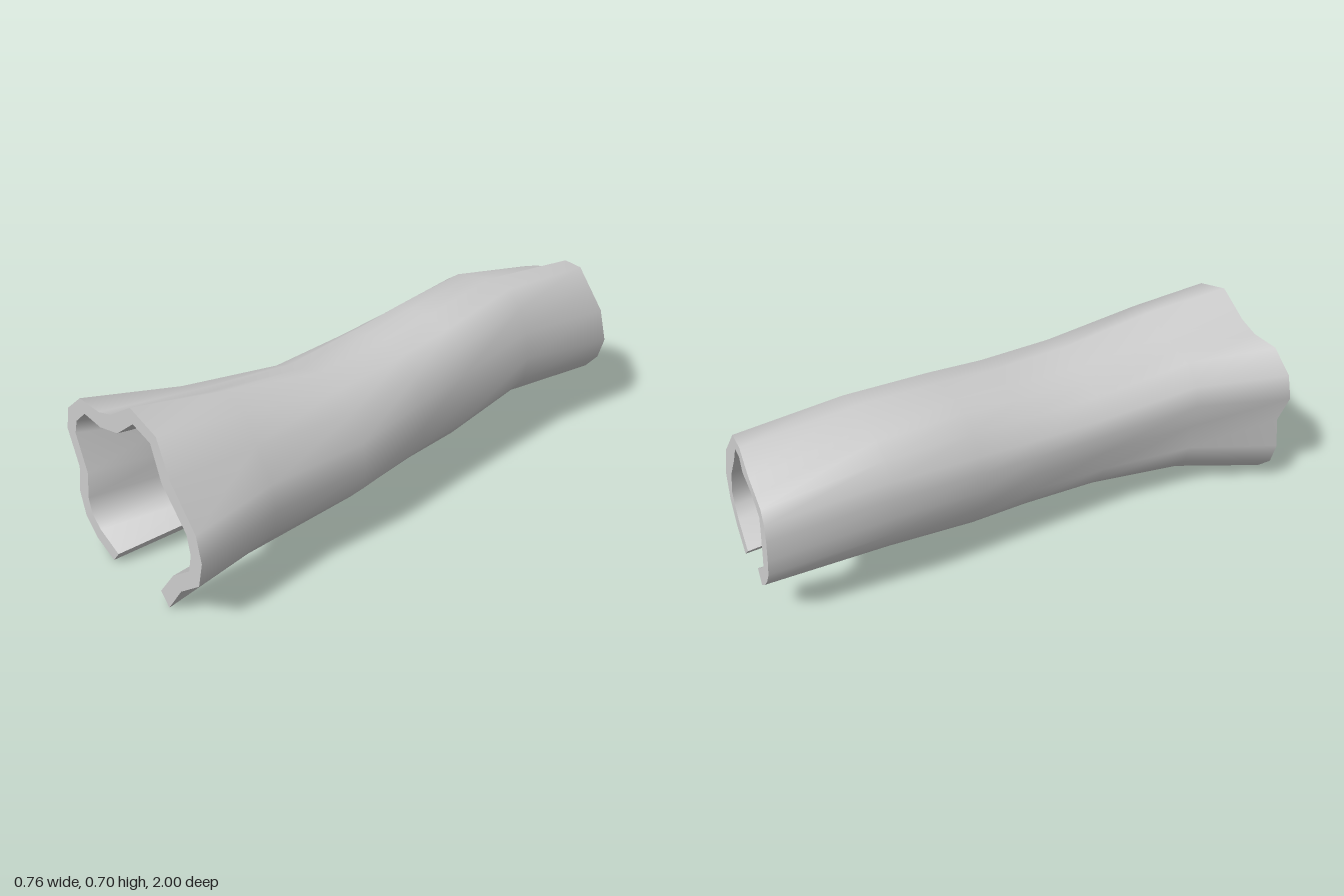
import * as THREE from 'three';

// Wall profiles (x, y), running from one lip of the slit over the top to the other
const outerProfiles = [
  // front
  [[-0.16, 0], [-0.26, 0.04], [-0.32, 0.10], [-0.345, 0.19], [-0.327, 0.30], [-0.38, 0.43],
    [-0.357, 0.52], [-0.27, 0.595], [-0.155, 0.595], [-0.08, 0.62], [0.04, 0.70], [0.175, 0.66],
    [0.235, 0.53], [0.355, 0.395], [0.378, 0.30], [0.355, 0.20], [0.25, 0.115], [0.172, 0]],
  // middle
  [[-0.085, 0.13], [-0.115, 0.15], [-0.16, 0.20], [-0.19, 0.27], [-0.20, 0.35], [-0.20, 0.43],
    [-0.18, 0.49], [-0.13, 0.56], [-0.07, 0.61], [0, 0.625], [0.10, 0.64], [0.20, 0.625],
    [0.265, 0.57], [0.297, 0.48], [0.31, 0.38], [0.30, 0.28], [0.24, 0.20], [0.135, 0.13]],
  // back
  [[-0.047, 0.15], [-0.085, 0.18], [-0.12, 0.22], [-0.145, 0.27], [-0.15, 0.33], [-0.15, 0.41],
    [-0.14, 0.47], [-0.11, 0.515], [-0.06, 0.535], [0.01, 0.56], [0.10, 0.62], [0.18, 0.62],
    [0.24, 0.55], [0.30, 0.48], [0.33, 0.36], [0.30, 0.27], [0.24, 0.20], [0.15, 0.135]],
];
const innerProfiles = [
  [[-0.125, 0.045], [-0.23, 0.09], [-0.275, 0.13], [-0.29, 0.19], [-0.275, 0.30], [-0.327, 0.435],
    [-0.31, 0.49], [-0.25, 0.545], [-0.155, 0.538], [-0.05, 0.565], [0.048, 0.645], [0.14, 0.62],
    [0.185, 0.50], [0.305, 0.37], [0.32, 0.30], [0.305, 0.23], [0.21, 0.155], [0.13, 0.045]],
  [[-0.07, 0.16], [-0.10, 0.18], [-0.15, 0.22], [-0.165, 0.28], [-0.178, 0.34], [-0.168, 0.41],
    [-0.15, 0.465], [-0.10, 0.53], [-0.05, 0.55], [0, 0.56], [0.075, 0.58], [0.16, 0.57],
    [0.21, 0.51], [0.258, 0.43], [0.272, 0.35], [0.265, 0.30], [0.205, 0.24], [0.115, 0.175]],
  [[-0.01, 0.195], [-0.05, 0.225], [-0.088, 0.26], [-0.09, 0.30], [-0.09, 0.35], [-0.09, 0.41],
    [-0.088, 0.467], [-0.05, 0.49], [0, 0.512], [0.085, 0.53], [0.115, 0.575], [0.16, 0.575],
    [0.19, 0.51], [0.245, 0.42], [0.267, 0.33], [0.24, 0.285], [0.205, 0.245], [0.112, 0.175]],
];

// Stations along the trunk: z, blend (0 front, 1 middle, 2 back), x range, y range, slant of the cut in x and y
const stations = [
  [0.993, 0, -0.38, 0.378, 0, 0.70, -0.02, -0.02],
  [0.67, 0.45, -0.24, 0.345, 0.055, 0.66, 0, 0],
  [0.30, 0.75, -0.20, 0.355, 0.10, 0.60, 0, 0],
  [0.00, 0.9, -0.20, 0.325, 0.125, 0.61, 0, 0],
  [-0.22, 1, -0.20, 0.31, 0.13, 0.63, 0, 0],
  [-0.56, 1.25, -0.21, 0.29, 0.17, 0.66, 0, 0],
  [-1.004, 2, -0.15, 0.33, 0.135, 0.62, 0.07, 0.055],
];

// Profile at a blend value between neighbouring profiles
function blend(profiles, t) {
  const k = Math.min(Math.floor(t), 1), f = t - k;
  return profiles[k].map(([x, y], i) => {
    const [u, v] = profiles[k + 1][i];
    return [x + (u - x) * f, y + (v - y) * f];
  });
}

// Blend both walls and fit them to the station's width and height
function section([z, t, x0, x1, y0, y1, slantX, slantY]) {
  const outer = blend(outerProfiles, t);
  const xs = outer.map(p => p[0]), ys = outer.map(p => p[1]);
  const ax = Math.min(...xs), bx = Math.max(...xs), ay = Math.min(...ys), by = Math.max(...ys);
  const fit = ([x, y]) => {
    const fx = x0 + (x - ax) / (bx - ax) * (x1 - x0);
    const fy = y0 + (y - ay) / (by - ay) * (y1 - y0);
    return [fx, fy, z + slantX * fx + slantY * fy];
  };
  return { outer: outer.map(fit), inner: blend(innerProfiles, t).map(fit) };
}

// Smooth skin through rows of points
function skin(name, rows, material) {
  const n = rows[0].length, index = [];
  for (let i = 0; i < rows.length - 1; i++) {
    for (let j = 0; j < n - 1; j++) {
      const a = i * n + j, b = a + 1, c = a + n, d = c + 1;
      index.push(a, b, c, b, d, c);
    }
  }
  const geometry = new THREE.BufferGeometry();
  geometry.setAttribute('position', new THREE.Float32BufferAttribute(rows.flat(2), 3));
  geometry.setIndex(index);
  geometry.computeVertexNormals();
  const mesh = new THREE.Mesh(geometry, material);
  mesh.name = name;
  return mesh;
}

export function createModel() {
  const group = new THREE.Group();
  group.name = 'hollowLog';
  const material = new THREE.MeshStandardMaterial({ color: 0xcccccc });
  const sections = stations.map(section);
  const outer = sections.map(s => s.outer), inner = sections.map(s => s.inner);
  const last = sections.length - 1, end = outer[0].length - 1;
  const edge = (rows, j) => rows.map(r => r[j]);

  group.add(
    // Bark outside and hollow inside
    skin('outerBark', outer, material),
    skin('innerHollow', [...inner].reverse(), material),
    // Cut ends
    skin('frontRim', [inner[0], outer[0]], material),
    skin('backRim', [outer[last], inner[last]], material),
    // Lips along the open slit underneath
    skin('rightSlitLip', [edge(outer, 0), edge(inner, 0)], material),
    skin('leftSlitLip', [edge(inner, end), edge(outer, end)], material),
  );
  return group;
}
